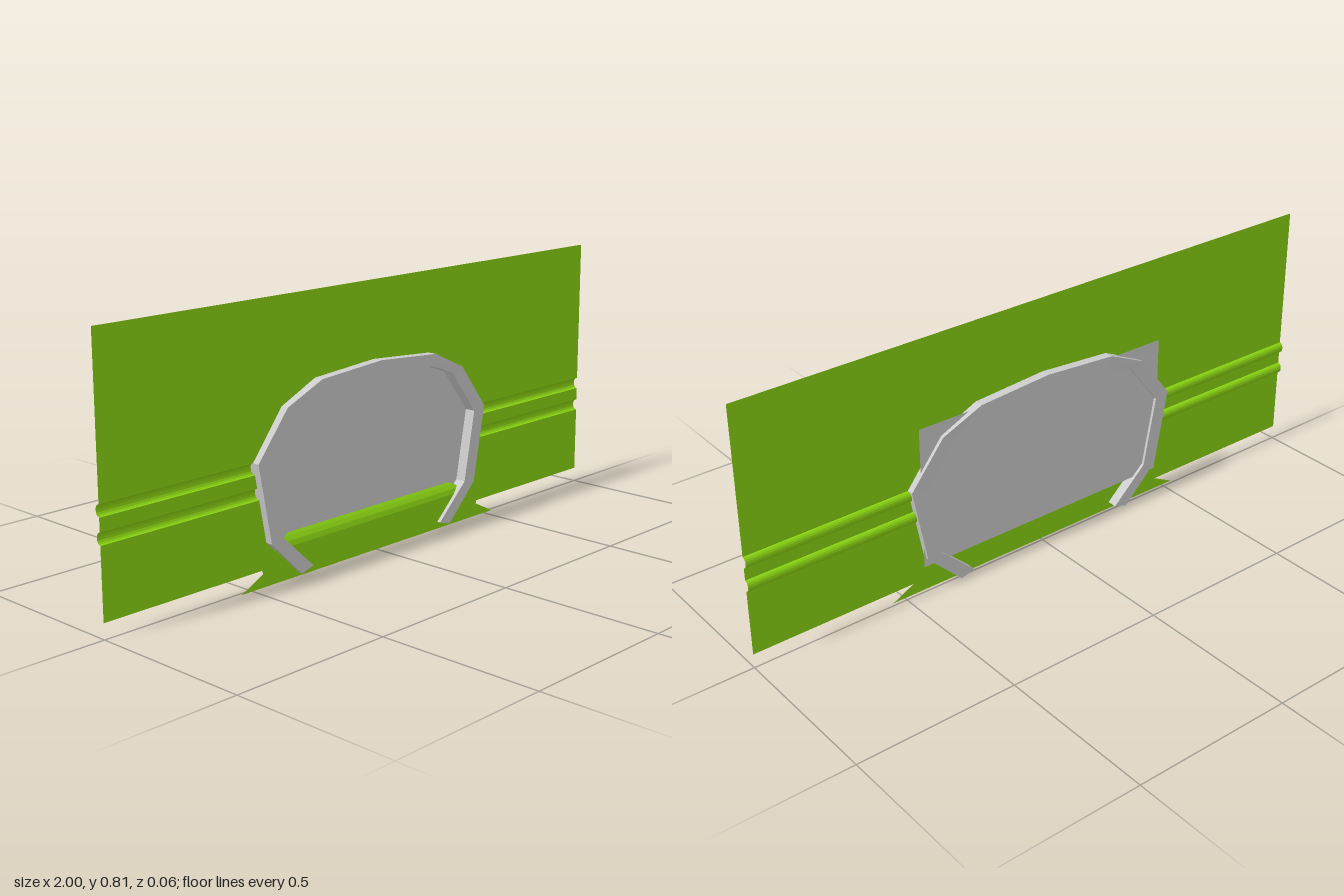
import * as THREE from 'three';

const green = new THREE.MeshStandardMaterial({ color: 0x8ad412, side: THREE.DoubleSide, flatShading: true });
const grey = new THREE.MeshStandardMaterial({ color: 0xcccccc, side: THREE.DoubleSide, flatShading: true });

// Arch stations, foot to crown: outer x, outer y, inner x, inner y, half depth
const half = [
  [0.32, 0.008, 0.275, 0.022, 0.0215],
  [0.435, 0.122, 0.39, 0.13, 0.0215],
  [0.48, 0.36, 0.432, 0.35, 0.0215],
  [0.37, 0.5, 0.325, 0.487, 0.0235],
  [0.24, 0.56, 0.222, 0.525, 0.029],
  [0, 0.577, 0, 0.545, 0.029],
];

// Surface through equal-length rows of points, rows run in order
function loft(rows, material, name) {
  const n = rows[0].length, index = [];
  for (let i = 0; i < rows.length - 1; i++)
    for (let j = 0; j < n - 1; j++) {
      const a = i * n + j, b = a + n;
      index.push(a, a + 1, b, a + 1, b + 1, b);
    }
  const geo = new THREE.BufferGeometry();
  geo.setAttribute('position', new THREE.Float32BufferAttribute(rows.flat(2), 3));
  geo.setIndex(index);
  geo.computeVertexNormals();
  const mesh = new THREE.Mesh(geo, material);
  mesh.name = name;
  return mesh;
}

// Rectangular-section frame swept along the mirrored stations, with capped feet
function createArch() {
  const mirrored = half.slice(0, -1).reverse().map(([a, b, c, d, e]) => [-a, b, -c, d, e]);
  const rows = [...half, ...mirrored].map(([ox, oy, ix, iy, d]) =>
    [[ox, oy, d], [ox, oy, -d], [ix, iy, -d], [ix, iy, d], [ox, oy, d]]);
  const cap = r => r.map(() => [0, 1, 2].map(k => (r[0][k] + r[2][k]) / 2));
  return loft([cap(rows[0]), ...rows, cap(rows[rows.length - 1])], grey, 'archFrame');
}

// Half-width of the panel opening at a height, along the middle of the frame
function openingAt(y) {
  const mid = half.map(([ox, oy, ix, iy]) => [(ox + ix) / 2, (oy + iy) / 2]);
  for (let i = 0; i < mid.length - 1; i++) {
    const [x0, y0] = mid[i], [x1, y1] = mid[i + 1];
    if (y >= y0 && y <= y1) return x0 + (x1 - x0) * (y - y0) / (y1 - y0);
  }
  return 0;
}

// One side of the wall panel, with two half-round ribs pressed towards the back
function createPanelSide(side) {
  const profile = [0.045, 0.126, 0.355, 0.4935, 0.5425, 0.561, 0.81].map(y => [y, -0.001]);
  for (const centre of [0.268, 0.342])
    for (let i = 0; i <= 8; i++) {
      const a = Math.PI * i / 8;
      profile.push([centre - 0.0175 * Math.cos(a), -0.001 - 0.013 * Math.sin(a)]);
    }
  // The opening's widest point falls on a rib, so keep its depth there
  const kept = profile.filter(([y, z]) => !(y === 0.355 && z === -0.001));
  kept.sort((p, q) => p[0] - q[0]);
  const rows = kept.map(([y, z]) => [[side * openingAt(y), y, z], [side, y, z]]);
  return loft(rows, green, side > 0 ? 'leftPanel' : 'rightPanel');
}

// Lower skirt: flared tips, top edge rolled back to meet the backing plate
function createSkirt(side) {
  const edge = [[0, 0.54], [0.02, 0.5], [0.04, 0.46], [0.055, 0.465], [0.08, 0.455], [0.095, 0.42],
    [0.11, 0.39], [0.122, 0.365], [0.13, 0.345]];
  const rows = edge.map(([y, x]) => {
    const t = Math.max(0, (y - 0.09) / 0.04);
    const z = 0.01 - 0.02 * t * t;
    return [[0, y, z], [side * x, y, z]];
  });
  return loft(rows, green, side > 0 ? 'leftSkirt' : 'rightSkirt');
}

export function createModel() {
  const model = new THREE.Group();
  model.name = 'archedPanel';

  for (const side of [1, -1]) model.add(createPanelSide(side), createSkirt(side));
  model.add(createArch());

  // Flat plate closing the opening from behind
  const plate = new THREE.Mesh(new THREE.PlaneGeometry(0.885, 0.45), grey);
  plate.name = 'backingPlate';
  plate.position.set(0, 0.32, -0.0125);
  model.add(plate);

  return model;
}
